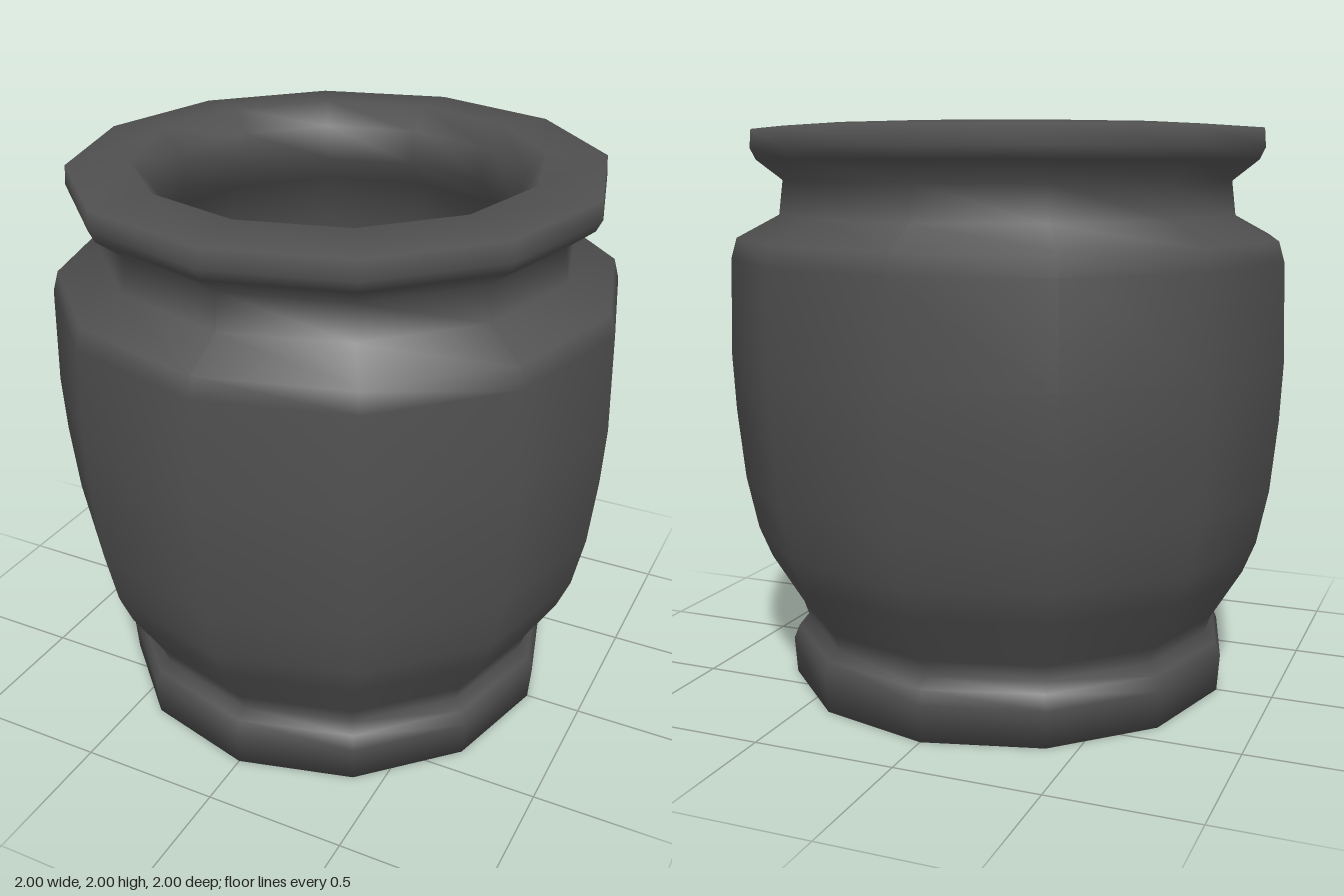
import * as THREE from 'three';

const SIDES = 12;

export function createModel() {
  const group = new THREE.Group();
  group.name = 'pot';

  const foot = [[0, 0], [0.8, 0], [0.81, 0.13], [0.79, 0.18], [0.75, 0.21]];
  const belly = [[0.77, 0.27], [0.88, 0.45], [0.925, 0.56], [0.965, 0.75], [0.99, 1.0],
    [1, 1.2], [0.99, 1.54], [0.97, 1.61]];
  const neck = [[0.82, 1.69], [0.805, 1.81]];
  const lip = [[0.895, 1.88], [0.915, 1.92], [0.91, 1.985], [0.7, 2], [0.635, 1.92]];
  // Hollow inside: narrow throat, wider chamber, rounded floor
  const inside = [[0.615, 1.8], [0.7, 1.7], [0.8, 1.5], [0.83, 1.2], [0.78, 0.75],
    [0.65, 0.42], [0.4, 0.27], [0, 0.22]];

  // One continuous turned wall, so the shading flows from foot to floor
  const profile = [...foot, ...belly, ...neck, ...lip, ...inside]
    .map(([r, y]) => new THREE.Vector2(r, y));
  const wall = new THREE.Mesh(
    new THREE.LatheGeometry(profile, SIDES),
    new THREE.MeshStandardMaterial({ color: 0x505050 }),
  );
  wall.name = 'potWall';
  group.add(wall);
  return group;
}
